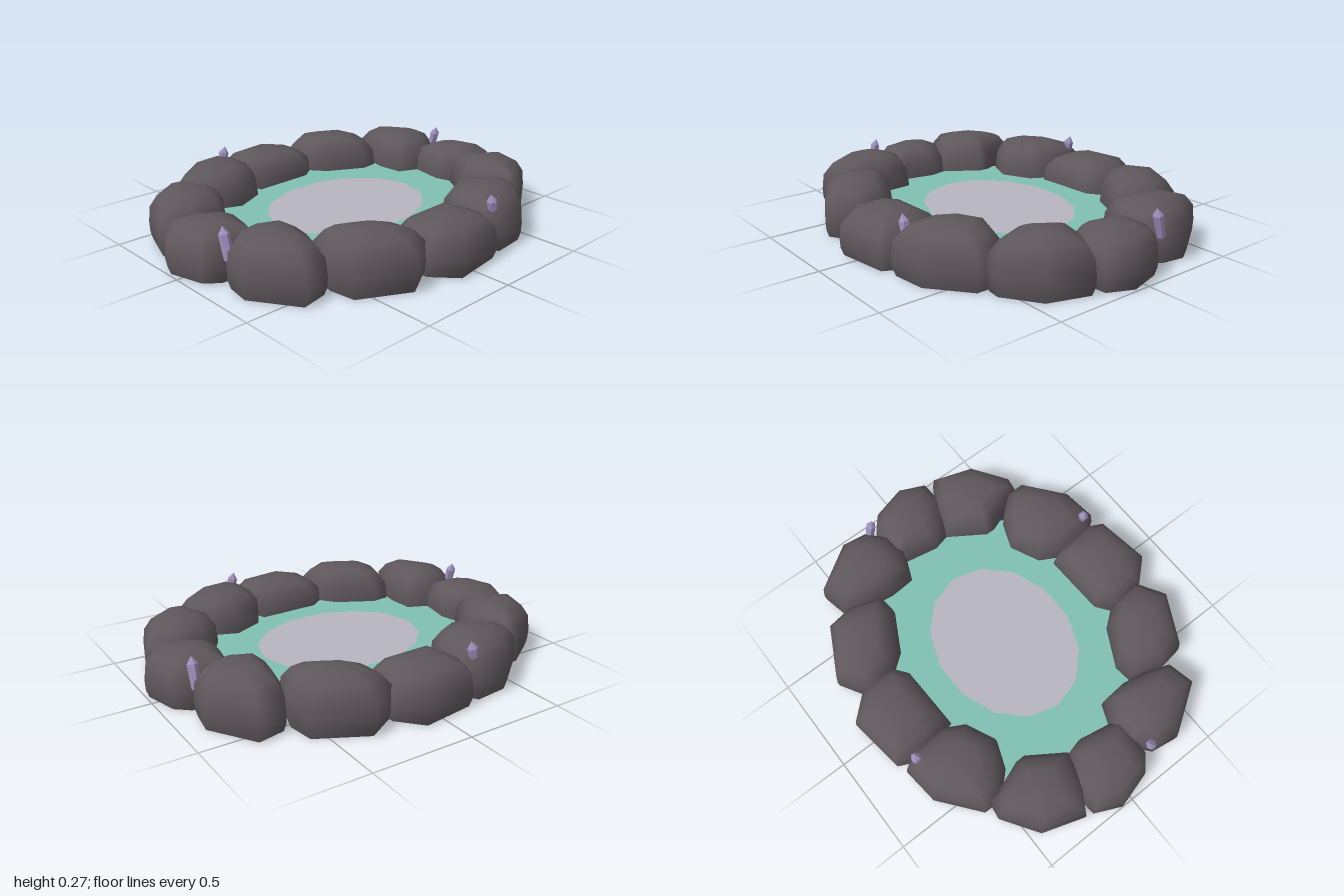
import * as THREE from 'three';

const mat = (name, color, extra = {}) => {
  const m = new THREE.MeshStandardMaterial({ color, ...extra });
  m.name = name;
  return m;
};

// Footprints of half the ring, clockwise from above, as [height, [x, z], ...]
const ROCKS = [
  [0.23, [0.68, -0.18], [0.88, -0.17], [0.95, -0.11], [1, 0.07], [0.94, 0.2], [0.8, 0.21], [0.65, 0.12], [0.63, 0.04], [0.66, -0.12]],
  [0.255, [0.62, -0.55], [0.76, -0.58], [0.91, -0.35], [0.89, -0.22], [0.8, -0.14], [0.68, -0.12], [0.56, -0.17], [0.55, -0.3], [0.57, -0.42]],
  [0.25, [0.18, -0.7], [0.33, -0.79], [0.58, -0.66], [0.6, -0.52], [0.55, -0.36], [0.46, -0.35], [0.27, -0.45], [0.2, -0.54]],
  [0.225, [-0.18, -0.8], [0.1, -0.84], [0.21, -0.72], [0.22, -0.54], [0.14, -0.48], [-0.18, -0.47], [-0.21, -0.6], [-0.22, -0.72]],
  [0.25, [-0.62, -0.6], [-0.42, -0.76], [-0.24, -0.78], [-0.19, -0.7], [-0.18, -0.53], [-0.24, -0.42], [-0.39, -0.35], [-0.52, -0.4], [-0.62, -0.5]],
  [0.255, [-0.93, -0.24], [-0.86, -0.45], [-0.68, -0.57], [-0.61, -0.56], [-0.53, -0.35], [-0.53, -0.3], [-0.65, -0.12], [-0.8, -0.16]],
];

// Rock profile: [height fraction, footprint scale]; the doubled first ring keeps the base edge sharp
const LAYERS = [[0, 0.93], [0, 0.93], [0.16, 0.99], [0.36, 1], [0.66, 0.96], [0.88, 0.76], [0.97, 0.45]];

function rockGeometry([height, ...outline]) {
  const n = outline.length;
  const cx = outline.reduce((s, p) => s + p[0], 0) / n;
  const cz = outline.reduce((s, p) => s + p[1], 0) / n;
  const pos = [], index = [];
  for (const [f, s] of LAYERS)
    for (const [x, z] of outline) pos.push(cx + (x - cx) * s, f * height, cz + (z - cz) * s);
  const bottom = pos.length / 3, top = bottom + 1;
  pos.push(cx, 0, cz, cx, height, cz);
  const last = (LAYERS.length - 1) * n;
  for (let i = 0; i < n; i++) {
    const j = (i + 1) % n;
    index.push(bottom, i, j, top, last + j, last + i);
    for (let r = n; r < last; r += n)
      index.push(r + i, r + n + i, r + n + j, r + i, r + n + j, r + j);
  }
  const g = new THREE.BufferGeometry();
  g.setAttribute('position', new THREE.Float32BufferAttribute(pos, 3));
  g.setIndex(index);
  g.computeVertexNormals();
  return g;
}

export function createModel() {
  const model = new THREE.Group();
  model.name = 'rockPool';
  const stone = mat('dark stone', 0x5e575b);
  const water = mat('teal water', 0x80c0b3, { side: THREE.DoubleSide });
  const shimmer = mat('pale water centre', 0xb7b6c1);
  const violet = mat('violet crystal', 0x9d90bd, { flatShading: true });

  const add = (parent, geometry, material, name) => {
    const m = new THREE.Mesh(geometry, material);
    m.name = name;
    parent.add(m);
    return m;
  };

  // Water surface and its pale centre, both flat ellipses
  const disc = (rx, rz, sides, y, material, name) => {
    const m = add(model, new THREE.CircleGeometry(1, sides).rotateX(-Math.PI / 2), material, name);
    m.scale.set(rx, 1, rz);
    m.position.y = y;
  };
  disc(0.74, 0.62, 24, 0.075, water, 'waterSurface');
  disc(0.43, 0.345, 14, 0.083, shimmer, 'waterCentre');

  // Six-sided pointed crystal
  const crystal = new THREE.LatheGeometry(
    [[0, -0.03], [0.022, 0], [0.025, 0.11], [0, 0.145]].map(([x, y]) => new THREE.Vector2(x, y)), 6);
  const rocks = ROCKS.map(rockGeometry);

  // Each half ring holds six rocks and two leaning crystals
  for (let half = 0; half < 2; half++) {
    const side = new THREE.Group();
    side.name = half ? 'frontHalfRing' : 'backHalfRing';
    side.rotation.y = half * Math.PI;
    model.add(side);
    rocks.forEach((g, i) => add(side, g, stone, 'rock' + (i + 1)));

    const backCrystal = add(side, crystal, violet, 'backCrystal');
    backCrystal.position.set(-0.27, 0.13, -0.71);
    backCrystal.rotation.z = -0.27;
    const sideCrystal = add(side, crystal, violet, 'sideCrystal');
    sideCrystal.position.set(0.87, 0.13, -0.215);
    sideCrystal.rotation.x = 0.27;
  }
  return model;
}
